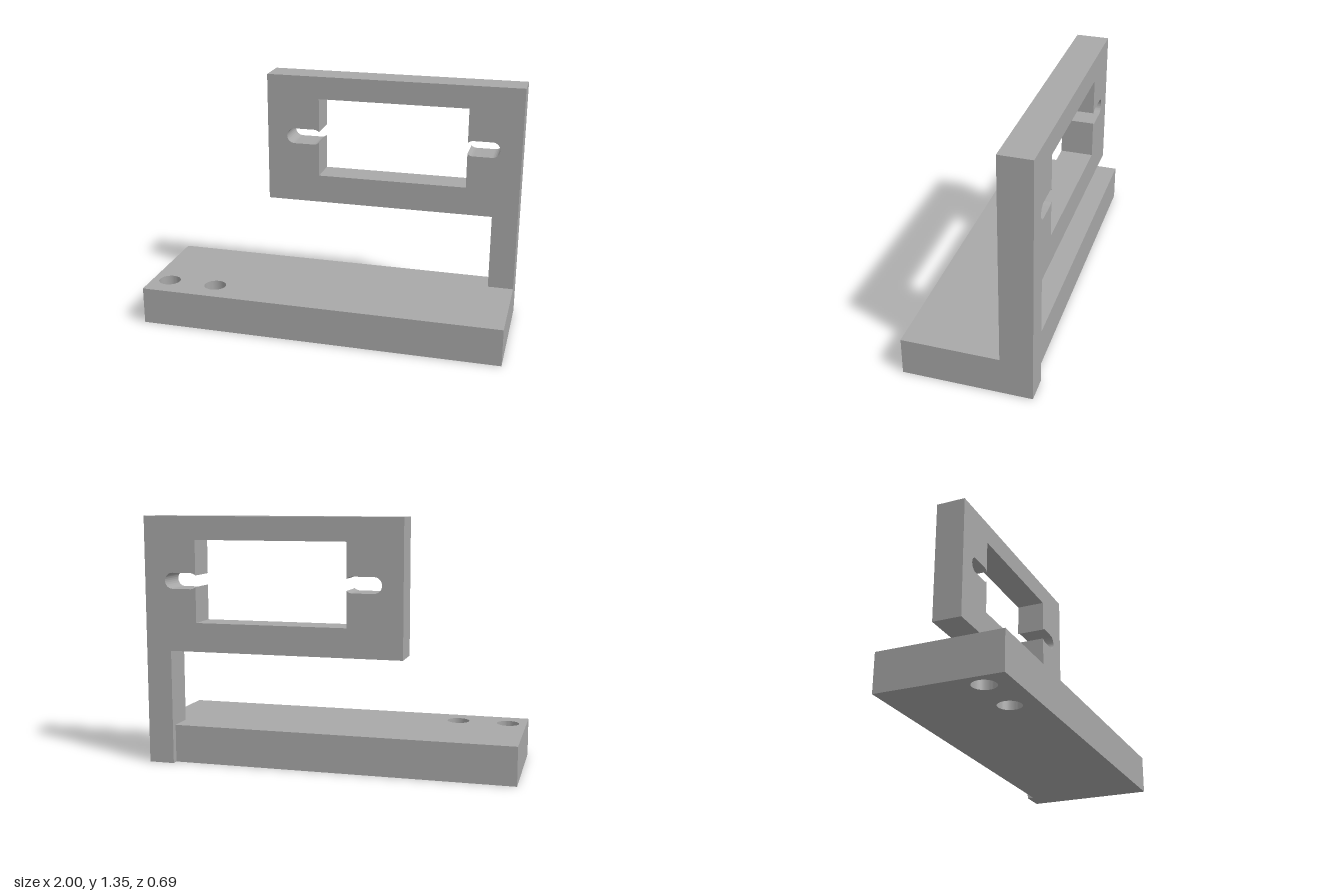
import * as THREE from 'three';
import { toCreasedNormals } from 'three/addons/utils/BufferGeometryUtils.js';

const BASE_TOP = 0.207, BACK = -0.345, UPRIGHT_FRONT = -0.174;

function polygon(points) {
  return new THREE.Shape(points.map(([x, y]) => new THREE.Vector2(x, y)));
}

function extrude(shape, depth) {
  const geometry = new THREE.ExtrudeGeometry(shape, { depth, bevelEnabled: false, curveSegments: 20 });
  return toCreasedNormals(geometry, 0.6);
}

// Rectangular window with a rounded slot opening from each side
function windowPath() {
  const left = -0.12, right = 0.71, bottom = 0.78, top = 1.222, y = 1.003;
  const r = 0.043, inset = 0.03, b = Math.acos(inset / r), q = Math.PI / 2;
  const path = new THREE.Path();
  path.moveTo(left, bottom);
  path.lineTo(right, bottom);
  path.absarc(right + inset, y, r, 2 * q + b, 3 * q, false);
  path.absarc(0.842, y, r, -q, q, false);
  path.absarc(right + inset, y, r, q, 2 * q - b, false);
  path.lineTo(right, top);
  path.lineTo(left, top);
  path.absarc(left - inset, y, r, b, q, false);
  path.absarc(-0.262, y, r, q, 3 * q, false);
  path.absarc(left - inset, y, r, 3 * q, 4 * q - b, false);
  path.closePath();
  return path;
}

export function createModel() {
  const group = new THREE.Group();
  group.name = 'mountingBracket';
  const grey = new THREE.MeshStandardMaterial({ color: 0xa8a8a8 });
  grey.name = 'plain grey';

  // Base plate, notched at the back corner for the post (shape y is -z)
  const baseShape = polygon([
    [-1, -0.345], [1, -0.345], [1, -UPRIGHT_FRONT],
    [0.86, -UPRIGHT_FRONT], [0.86, 0.31], [-1, 0.31],
  ]);
  for (const x of [-0.9, -0.625]) {
    baseShape.holes.push(new THREE.Path().absarc(x, -0.2, 0.061, 0, Math.PI * 2, true));
  }
  const base = new THREE.Mesh(extrude(baseShape, BASE_TOP), grey);
  base.geometry.rotateX(-Math.PI / 2);
  base.name = 'basePlate';

  // Post and window frame in one piece
  const uprightShape = polygon([
    [0.86, 0], [1, 0], [1, 1.347], [-0.416, 1.347], [-0.416, 0.624], [0.86, 0.624],
  ]);
  uprightShape.holes.push(windowPath());
  const upright = new THREE.Mesh(extrude(uprightShape, UPRIGHT_FRONT - BACK), grey);
  upright.position.z = BACK;
  upright.name = 'postAndSlottedFrame';

  group.add(base, upright);
  return group;
}
